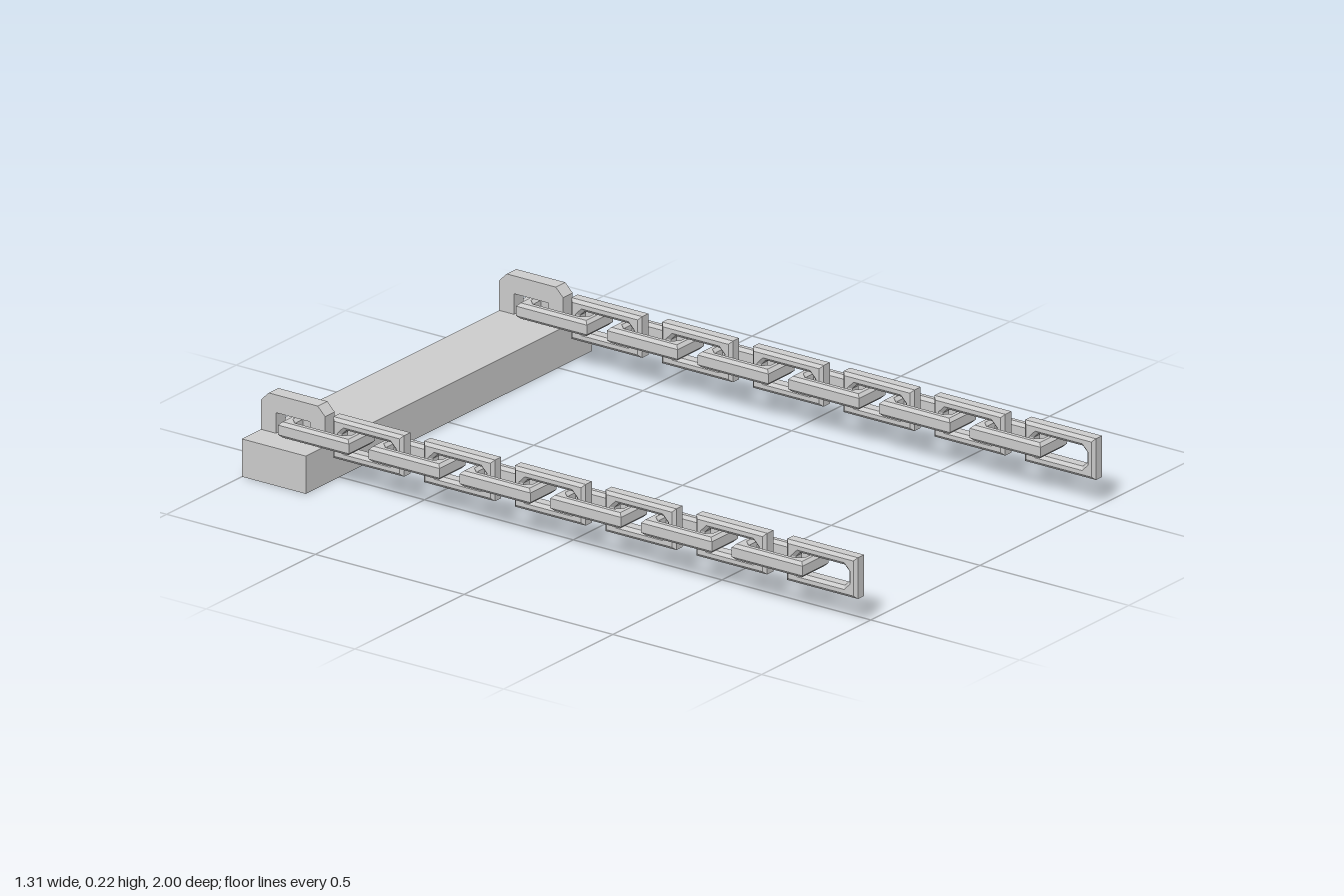
import * as THREE from 'three';

const material = new THREE.MeshStandardMaterial({ color: 0xcccccc, flatShading: true });

// Closed outline from a list of corner points
const polygon = (points, Type = THREE.Shape) => new Type(points.map(([x, y]) => new THREE.Vector2(x, y)));

// Rectangle with cut corners, centred on the origin
const cutRect = (w, h, c) => [
  [-w + c, -h], [w - c, -h], [w, -h + c], [w, h - c],
  [w - c, h], [-w + c, h], [-w, h - c], [-w, -h + c],
];

// Chain link lying along z and standing in the yz plane
function linkGeometry() {
  const bevel = 0.009, thickness = 0.046;
  const w = 0.119 - bevel, h = 0.06 - bevel;
  const shape = polygon([[-w, -h], [w, -h], [w, h], [-w, h]]);
  shape.holes.push(polygon(cutRect(0.09 + bevel, 0.03 + bevel, 0.02).reverse(), THREE.Path));
  const depth = thickness - 2 * bevel;
  return new THREE.ExtrudeGeometry(shape, {
    depth, bevelEnabled: true, bevelSegments: 1, bevelSize: bevel, bevelThickness: bevel,
  }).translate(0, 0, -depth / 2).rotateY(Math.PI / 2);
}

// Staple with chamfered shoulders, its legs set on the beam
function stapleGeometry() {
  const shape = polygon([
    [0.785, 0.1], [0.835, 0.1], [0.835, 0.17], [0.95, 0.17], [0.95, 0.1], [1, 0.1],
    [1, 0.197], [0.975, 0.222], [0.81, 0.222], [0.785, 0.197],
  ]);
  return new THREE.ExtrudeGeometry(shape, { depth: 0.044, bevelEnabled: false })
    .translate(0, 0, -0.022).rotateY(Math.PI / 2);
}

export function createModel() {
  const model = new THREE.Group();
  model.name = 'beamWithChains';

  const beam = new THREE.Mesh(new THREE.BoxGeometry(1.31, 0.11, 0.215), material);
  beam.name = 'beam';
  beam.position.set(0, 0.055, -0.8925);
  model.add(beam);

  const link = linkGeometry();
  const staple = stapleGeometry();
  for (const side of [1, -1]) {
    const prefix = side > 0 ? 'left' : 'right';
    const anchor = new THREE.Mesh(staple, material);
    anchor.name = prefix + 'Staple';
    anchor.position.x = side * 0.545;
    model.add(anchor);

    // Links alternate upright and flat, from the free end to the staple
    const chain = new THREE.Group();
    chain.name = prefix + 'Chain';
    chain.position.set(side * 0.545, 0.14, 0);
    for (let i = 0; i < 12; i++) {
      const mesh = new THREE.Mesh(link, material);
      mesh.name = 'link' + (i + 1);
      mesh.position.z = 0.881 - i * 0.1525;
      if (i % 2) mesh.rotation.z = Math.PI / 2;
      chain.add(mesh);
    }
    model.add(chain);
  }
  return model;
}
